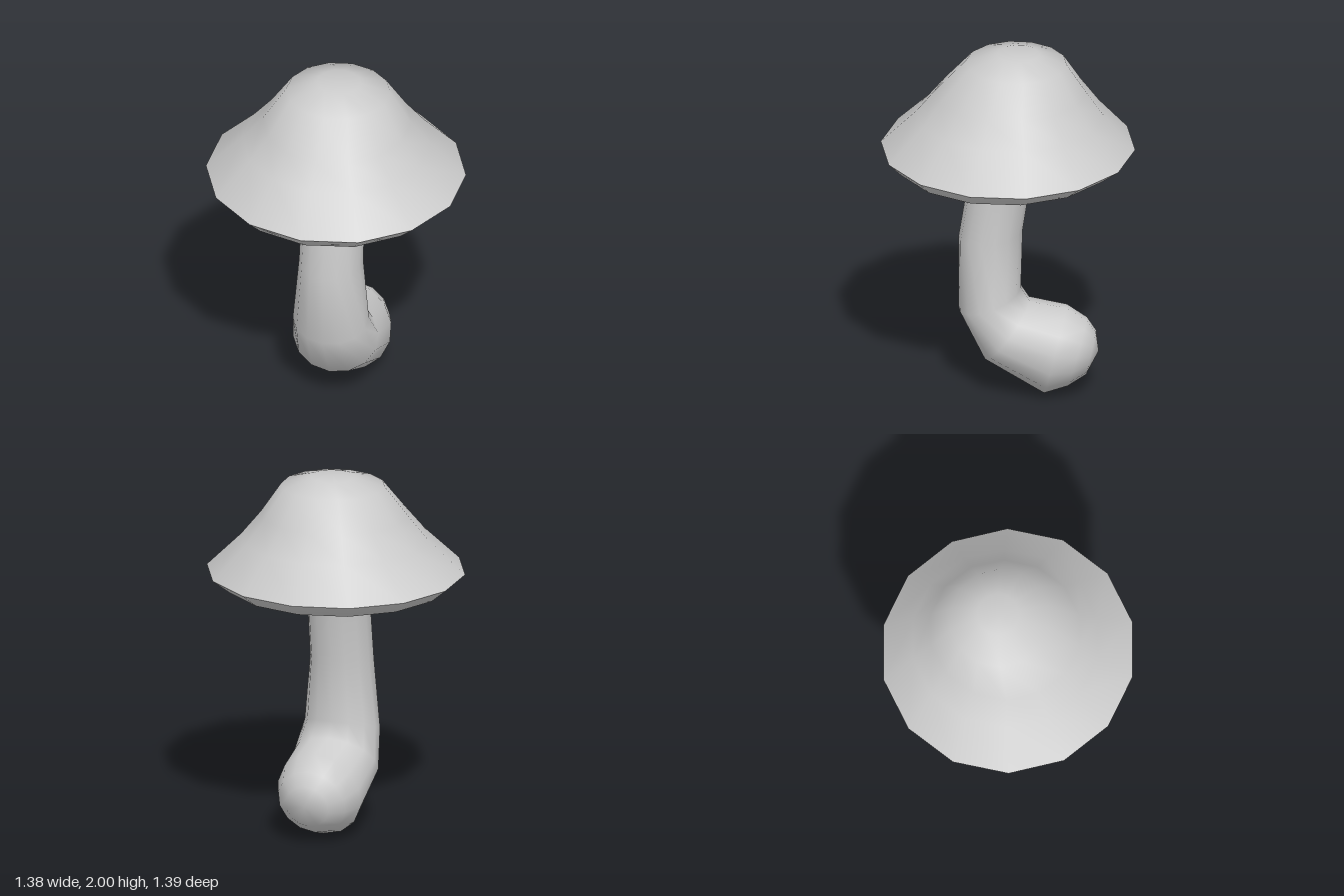
import * as THREE from 'three';
import { mergeVertices } from 'three/addons/utils/BufferGeometryUtils.js';

const SIDES = 14;

// Skin a surface over elliptical rings, each [frontZ, frontY, backZ, backY, halfWidth].
function loft(name, rings, material) {
  const positions = [], index = [];
  rings.forEach(([fz, fy, bz, by, w], i) => {
    for (let j = 0; j < SIDES; j++) {
      const t = (j / SIDES) * Math.PI * 2, c = Math.cos(t);
      positions.push(
        w * Math.sin(t),
        (fy + by) / 2 + (c * (fy - by)) / 2,
        (fz + bz) / 2 + (c * (fz - bz)) / 2
      );
      if (i < rings.length - 1) {
        const k = (j + 1) % SIDES;
        const a = i * SIDES + j, d = i * SIDES + k;
        const b = a + SIDES, e = d + SIDES;
        index.push(a, b, e, a, e, d);
      }
    }
  });
  let geometry = new THREE.BufferGeometry();
  geometry.setAttribute('position', new THREE.Float32BufferAttribute(positions, 3));
  geometry.setIndex(index);
  geometry = mergeVertices(geometry, 1e-4); // weld the poles
  geometry.computeVertexNormals();
  const mesh = new THREE.Mesh(geometry, material);
  mesh.name = name;
  return mesh;
}

export function createModel() {
  const group = new THREE.Group();
  group.name = 'mushroom';
  const grey = new THREE.MeshStandardMaterial({ color: 0xcccccc });
  const greyThin = new THREE.MeshStandardMaterial({ color: 0xcccccc, side: THREE.DoubleSide });

  // Bell-shaped cap, its crown leaning slightly back
  group.add(loft('capTop', [
    [-0.05, 2.0, -0.05, 2.0, 0],
    [0.06, 2.0, -0.17, 2.0, 0.12],
    [0.23, 1.95, -0.32, 1.945, 0.285],
    [0.40, 1.765, -0.43, 1.78, 0.405],
    [0.50, 1.64, -0.53, 1.64, 0.515],
    [0.695, 1.45, -0.695, 1.45, 0.71],
  ], greyThin));

  // Rolled rim and hollow underside rising to the stem
  group.add(loft('capUnderside', [
    [0.695, 1.45, -0.695, 1.45, 0.71],
    [0.62, 1.37, -0.59, 1.37, 0.615],
    [0.50, 1.345, -0.44, 1.345, 0.49],
    [0.40, 1.40, -0.36, 1.40, 0.39],
    [0.18, 1.55, -0.16, 1.55, 0.17],
  ], greyThin));

  // Bent stem ending in a rounded bulb that points backwards
  group.add(loft('stem', [
    [0.16, 1.58, -0.17, 1.58, 0.17],
    [0.20, 1.34, -0.14, 1.34, 0.173],
    [0.215, 1.25, -0.125, 1.25, 0.173],
    [0.27, 0.90, -0.08, 0.95, 0.175],
    [0.27, 0.48, -0.07, 0.60, 0.21],
    [0.13, 0.20, -0.12, 0.52, 0.24],
    [-0.20, 0.0, -0.32, 0.49, 0.24],
    [-0.33, 0.045, -0.43, 0.42, 0.195],
    [-0.43, 0.11, -0.48, 0.35, 0.125],
    [-0.495, 0.24, -0.495, 0.24, 0],
  ], grey));

  return group;
}
